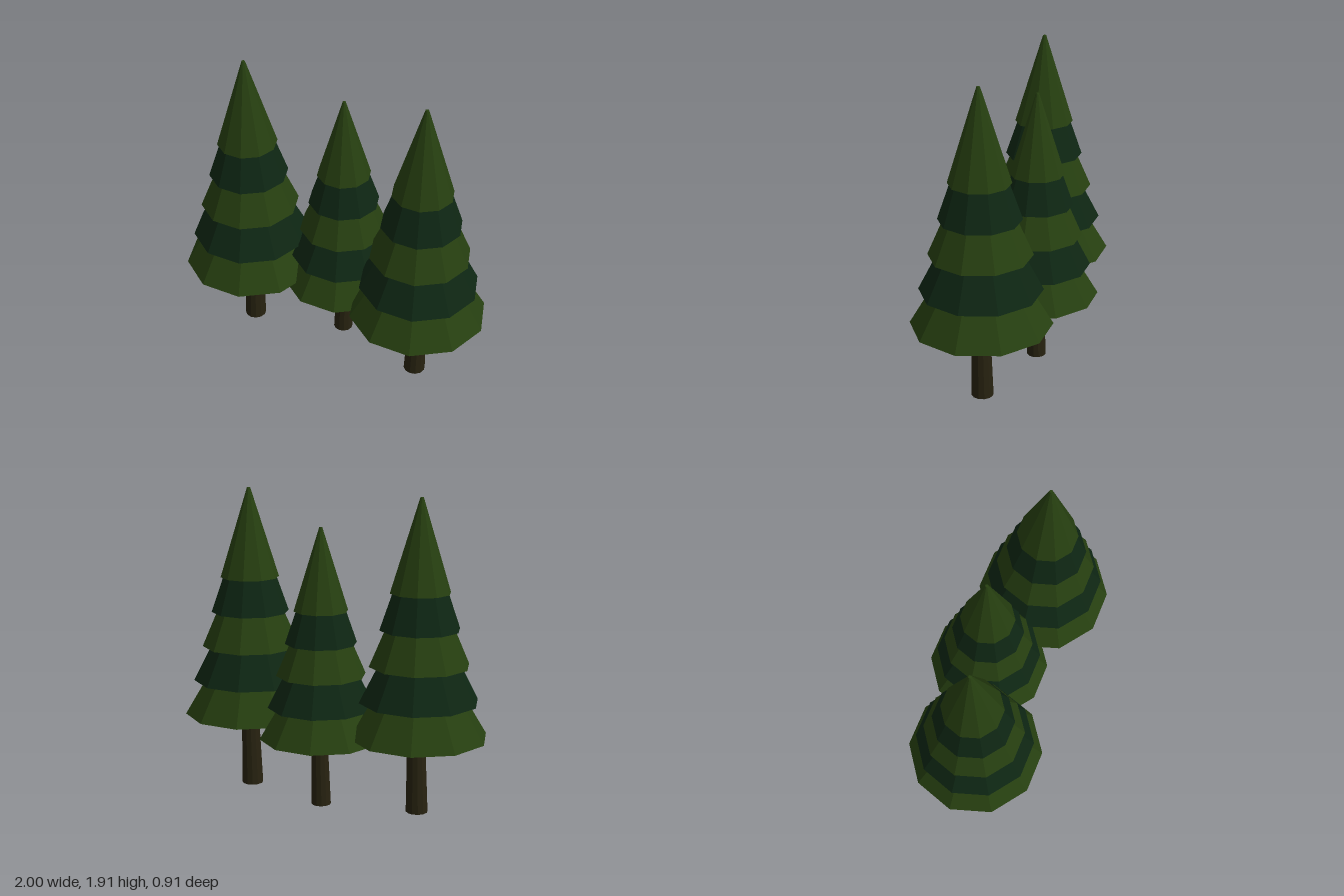
import * as THREE from 'three';

const mat = (name, color) => {
  const m = new THREE.MeshStandardMaterial({ color, flatShading: true });
  m.name = name;
  return m;
};

// Tiers from top to bottom: [base height, base radius, cone height, tip radius]
const TIERS = [
  [1.353, 0.183, 0.557, 0.01],
  [1.135, 0.243, 0.55, 0.052],
  [0.917, 0.304, 0.55, 0.065],
  [0.698, 0.363, 0.55, 0.078],
  [0.479, 0.42, 0.55, 0.09],
];

function createTree(name, mats) {
  const tree = new THREE.Group();
  tree.name = name;

  // Ten-sided foliage tiers in alternating greens, a corner pointing along x
  TIERS.forEach(([y, radius, height, tip], i) => {
    const geo = new THREE.CylinderGeometry(tip, radius, height, 10);
    geo.rotateY(Math.PI / 2);
    const tier = new THREE.Mesh(geo, i % 2 ? mats.darkGreen : mats.lightGreen);
    tier.name = `foliageTier${i + 1}`;
    tier.position.y = y + height / 2;
    tree.add(tier);
  });

  // Tapered trunk, sheared so that it leans slightly to +x
  const trunkHeight = 0.55;
  const geo = new THREE.CylinderGeometry(0.052, 0.067, trunkHeight, 12);
  geo.translate(0, trunkHeight / 2, 0);
  const p = geo.attributes.position;
  for (let i = 0; i < p.count; i++) p.setX(i, p.getX(i) + 0.024 * p.getY(i));
  geo.computeVertexNormals();
  const trunk = new THREE.Mesh(geo, mats.bark);
  trunk.name = 'trunk';
  tree.add(trunk);
  return tree;
}

export function createModel() {
  const model = new THREE.Group();
  model.name = 'pineTrees';
  const mats = {
    lightGreen: mat('lightGreen', 0x263f10),
    darkGreen: mat('darkGreen', 0x0e2613),
    bark: mat('bark', 0x272210),
  };

  // Two tall trees with a smaller one between and behind them
  for (const [name, x, z, scale] of [
    ['rightTree', -0.58, 0.053, 1],
    ['middleTree', 0, -0.094, 0.9],
    ['leftTree', 0.58, 0.053, 1],
  ]) {
    const tree = createTree(name, mats);
    tree.position.set(x, 0, z);
    tree.scale.setScalar(scale);
    model.add(tree);
  }
  return model;
}
